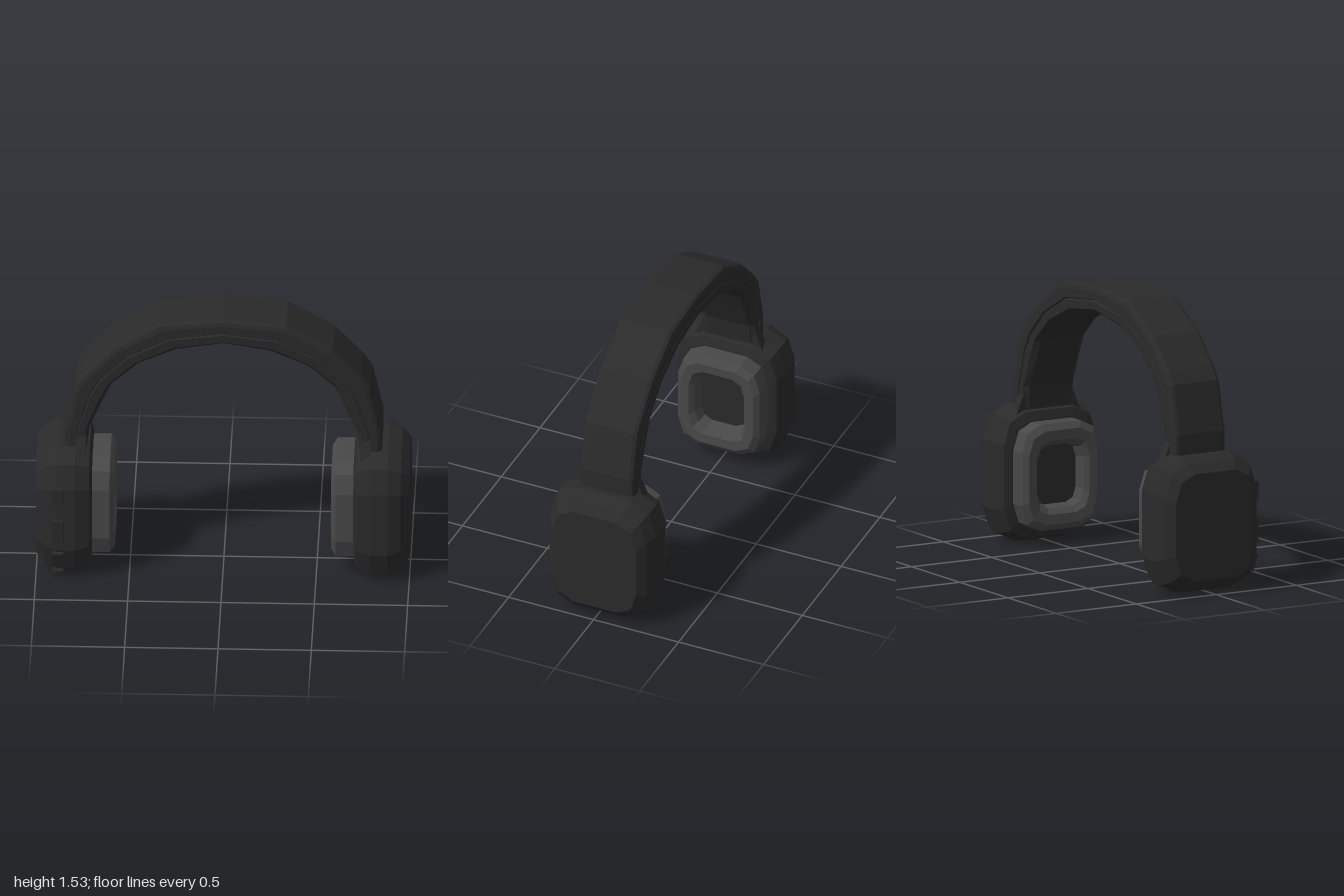
import * as THREE from 'three';

const dark = new THREE.MeshStandardMaterial({ color: 0x2a2a2a, flatShading: true });
const soft = new THREE.MeshStandardMaterial({ color: 0x484848, flatShading: true });

// Skin a list of equal-length closed rings and cap both ends.
function loft(rings) {
  const n = rings[0].length, pos = [], idx = [];
  rings.forEach(r => r.forEach(p => pos.push(...p)));
  for (let i = 0; i < rings.length - 1; i++) {
    for (let j = 0; j < n; j++) {
      const a = i * n + j, b = i * n + (j + 1) % n;
      idx.push(a, b, b + n, a, b + n, a + n);
    }
  }
  const last = (rings.length - 1) * n;
  for (let j = 1; j < n - 1; j++) {
    idx.push(0, j + 1, j, last, last + j, last + j + 1);
  }
  const g = new THREE.BufferGeometry();
  g.setAttribute('position', new THREE.Float32BufferAttribute(pos, 3));
  g.setIndex(idx);
  const flat = g.toNonIndexed();
  flat.computeVertexNormals();
  return flat;
}

function add(parent, name, geometry, material) {
  const mesh = new THREE.Mesh(geometry, material);
  mesh.name = name;
  parent.add(mesh);
  return mesh;
}

// Twelve-sided rounded rectangle in unit size, counter-clockwise seen from +x.
const quarter = [[1, 0.5], [0.86, 0.86], [0.52, 1]];
const outline = [
  ...quarter,
  ...quarter.map(([u, v]) => [-u, v]).reverse(),
  ...quarter.map(([u, v]) => [-u, -v]),
  ...quarter.map(([u, v]) => [u, -v]).reverse(),
];
const CY = 0.375;

// Rounded shell around the cup axis; profile rows are [x, scale].
function shell(halfZ, halfY, profile) {
  return loft(profile.map(([x, s]) =>
    outline.map(([u, v]) => [x, CY + v * halfY * s, -u * halfZ * s])));
}

function earCup(name) {
  const cup = new THREE.Group();
  cup.name = name;
  add(cup, 'cupShell', shell(0.31, 0.37,
    [[0.70, 0.80], [0.715, 0.93], [0.79, 1], [0.885, 1], [0.955, 0.92], [1, 0.79]]), dark);
  // Hollow cushion: from the recess floor, over the rim, back to the cup
  add(cup, 'earCushion', shell(0.24, 0.29,
    [[0.68, 0.55], [0.61, 0.6], [0.583, 0.7], [0.58, 0.88], [0.605, 1], [0.71, 1]]), soft);
  add(cup, 'speakerCover', shell(0.24, 0.29, [[0.672, 0.56], [0.69, 0.56]]), dark);
  // Tapered hinge between cup and headband
  const foot = [[0.2, 0.7], [0.15, 0.82], [-0.15, 0.82], [-0.2, 0.7]];
  add(cup, 'hinge', loft([0.735, 0.79].map(x => foot.map(([u, y]) => [x, y, -u]))), dark);
  return cup;
}

// Headband stations from the right end to the crown: outer edge and inner edge.
const outer = [[-0.85, 0.74], [-0.85, 0.855], [-0.79, 1.12], [-0.74, 1.19],
  [-0.59, 1.35], [-0.34, 1.50], [0, 1.53]];
const inner = [[-0.73, 0.74], [-0.717, 0.855], [-0.65, 1.01], [-0.60, 1.12],
  [-0.455, 1.25], [-0.25, 1.34], [0, 1.38]];
const mirrored = pts => [...pts, ...pts.slice(0, -1).reverse().map(([x, y]) => [-x, y])];

// Section rows are [t, half width], t running from the outer edge to the inner edge.
function bandLayer(section) {
  const ring = [...section.map(([t, w]) => [t, -w]).reverse(), ...section];
  const o = mirrored(outer), n = mirrored(inner);
  return loft(o.map(([ox, oy], i) => ring.map(([t, z]) =>
    [ox + (n[i][0] - ox) * t, oy + (n[i][1] - oy) * t, z])));
}

export function createModel() {
  const model = new THREE.Group();
  model.name = 'headphones';

  const body = new THREE.Group();
  body.name = 'body';
  body.position.z = -0.005;
  model.add(body);

  // Headband with a cushion under it
  add(body, 'headband', bandLayer(
    [[0, 0.135], [0.06, 0.152], [0.2, 0.16], [0.5, 0.16], [0.56, 0.145]]), dark);
  add(body, 'headbandCushion', bandLayer(
    [[0.5, 0.145], [0.58, 0.157], [0.86, 0.155], [1, 0.125]]), dark);

  // Ear cups, the right one turned round
  body.add(earCup('leftEarCup'));
  const right = earCup('rightEarCup');
  right.rotation.y = Math.PI;
  body.add(right);

  // Control buttons along the front edge of the right cup: [y, z, length, tilt]
  [[0.52, 0.31, 0.10, 0], [0.305, 0.31, 0.14, 0],
    [0.13, 0.293, 0.10, 0.31], [0.03, 0.222, 0.085, 1.1]].forEach(([y, z, len, tilt], i) => {
    const b = add(body, 'button' + (i + 1), new THREE.BoxGeometry(0.058, len, 0.03), dark);
    b.position.set(-0.88, y, z);
    b.rotation.x = tilt;
  });

  return model;
}
